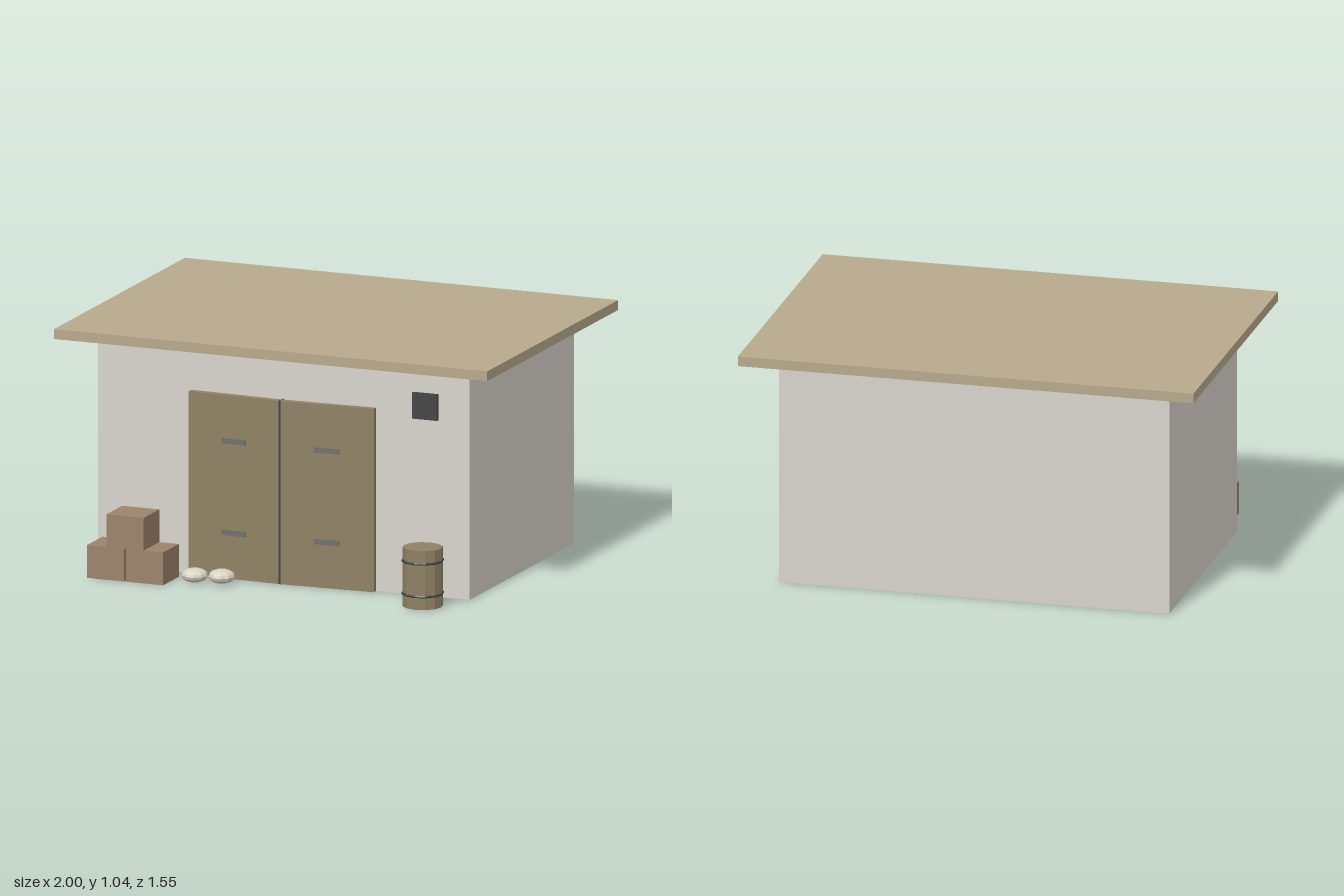
import * as THREE from 'three';

const mat = (color) => new THREE.MeshStandardMaterial({ color, flatShading: true });

export function createModel() {
  const model = new THREE.Group();
  const wall = mat(0xd8d4cc), roof = mat(0xb8a98c), wood = mat(0x8f8164), iron = mat(0x444444);
  const steel = mat(0x70706c), carton = mat(0x9c836b), barrelWood = mat(0x8f8164), sack = mat(0xd8d0c0);

  function add(name, geometry, material, x, y, z, parent = model) {
    const mesh = new THREE.Mesh(geometry, material);
    mesh.name = name;
    mesh.position.set(x, y, z);
    parent.add(mesh);
    return mesh;
  }
  const box = (w, h, d) => new THREE.BoxGeometry(w, h, d);

  // Building shell and overhanging flat roof
  add('walls', box(1.714, 1, 1.143), wall, 0, 0.5, -0.061);
  add('roof', box(2, 0.043, 1.429), roof, 0, 1.0215, -0.061);

  // Double doors, slightly ajar so the inner edges stand forward
  for (const side of [1, -1]) {
    const door = new THREE.Group();
    door.name = side > 0 ? 'leftDoor' : 'rightDoor';
    door.position.set(side * 0.214, 0, 0.531);
    door.rotation.y = side * 0.04;
    model.add(door);
    add('doorPanel', box(0.426, 0.8, 0.029), wood, 0, 0.4, 0, door);
    for (const y of [0.2, 0.6]) add('doorStrap', box(0.114, 0.023, 0.006), steel, 0, y, 0.0145, door);
  }
  add('doorSeam', box(0.01, 0.8, 0.044), iron, 0, 0.4, 0.533);

  // Wall vent
  add('vent', box(0.114, 0.114, 0.029), iron, 0.657, 0.829, 0.511);

  // Stacked crates
  for (const [x, y] of [[-0.714, 0.0715], [-0.533, 0.0715], [-0.623, 0.2145]])
    add('crate', box(0.171, 0.143, 0.171), carton, x, y, 0.681);

  // Barrel with two hoops
  const barrel = new THREE.Group();
  barrel.name = 'barrel';
  barrel.position.set(0.714, 0, 0.681);
  model.add(barrel);
  add('barrelBody', new THREE.CylinderGeometry(0.086, 0.086, 0.257, 12), barrelWood, 0, 0.1285, 0, barrel);
  for (const y of [0.057, 0.2])
    add('barrelHoop', new THREE.TorusGeometry(0.087, 0.0055, 6, 12).rotateX(Math.PI / 2), iron, 0, y, 0, barrel);

  // Squashed sacks
  for (const [x, z] of [[-0.343, 0.67], [-0.229, 0.645]])
    add('sack', new THREE.SphereGeometry(0.058, 10, 8).scale(1, 0.53, 1), sack, x, 0.034, z);

  return model;
}
